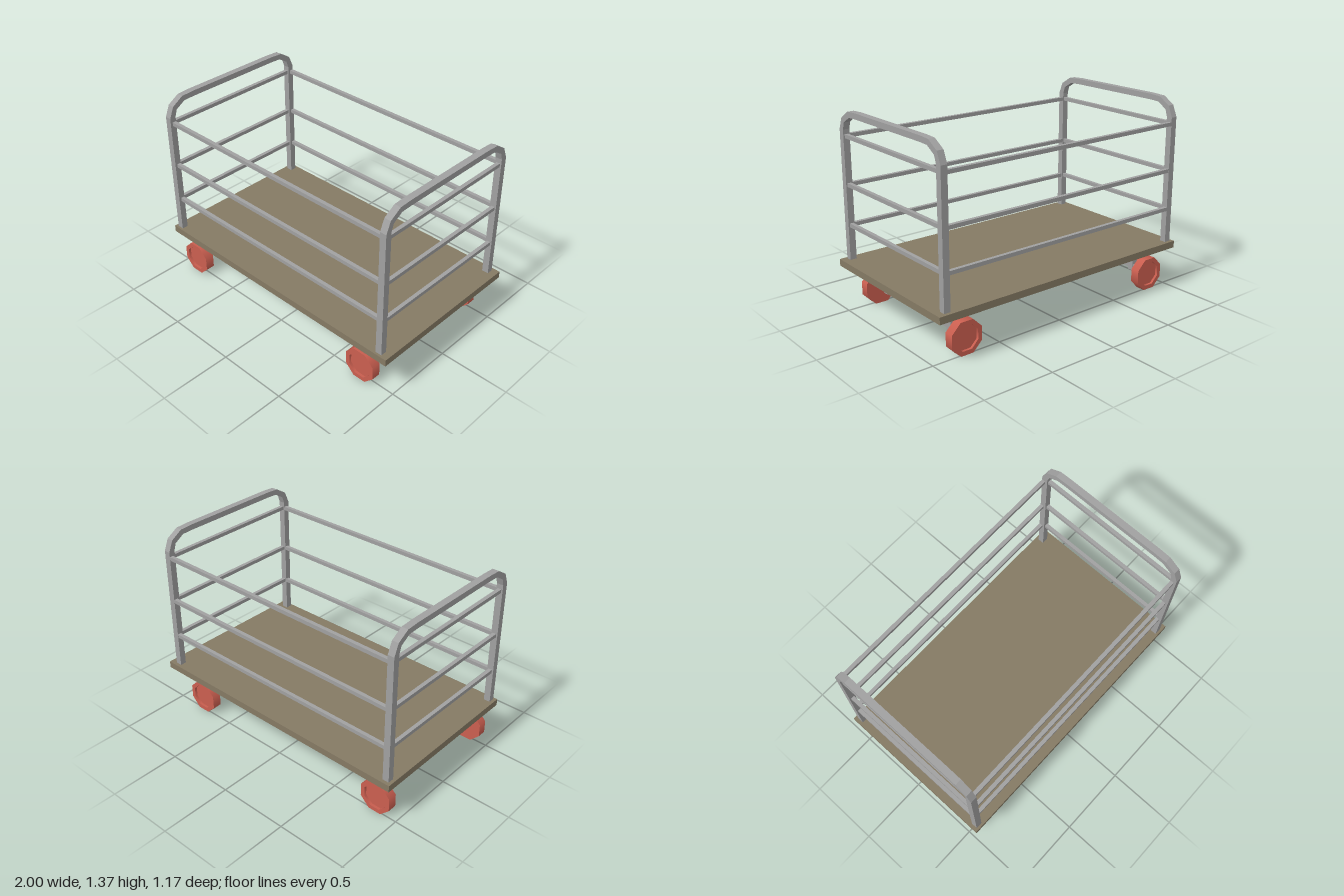
import * as THREE from 'three';
import { mergeGeometries } from 'three/addons/utils/BufferGeometryUtils.js';

const metal = new THREE.MeshStandardMaterial({ color: 0xa0a0a0 });
metal.name = 'grey metal';
const wood = new THREE.MeshStandardMaterial({ color: 0x857a64 });
wood.name = 'brown deck';
const red = new THREE.MeshStandardMaterial({ color: 0xcb5f50 });
red.name = 'red wheel';

// Box given by its minimum and maximum corners
function box(name, material, min, max) {
  const size = max.map((v, i) => v - min[i]);
  const mesh = new THREE.Mesh(new THREE.BoxGeometry(...size), material);
  mesh.position.set(...max.map((v, i) => (v + min[i]) / 2));
  mesh.name = name;
  return mesh;
}

// Half outlines of the hoop, from the foot to the top, as [z, y]
const HOOP_OUTER = [[0.565, 0.34], [0.565, 1.235], [0.532, 1.313], [0.451, 1.363], [0.36, 1.368]];
const HOOP_INNER = [[0.521, 0.34], [0.521, 1.235], [0.505, 1.284], [0.436, 1.326], [0.36, 1.329]];
const HOOP_WIDTH = 0.046;
const HOOP_Z = 0.004;

// Bent square tube with two legs
function hoopGeometry() {
  const mirror = (pts) => pts.map(([z, y]) => [-z, y]).reverse();
  const outer = [...HOOP_OUTER, ...mirror(HOOP_OUTER)];
  const inner = [...HOOP_INNER, ...mirror(HOOP_INNER)].reverse();
  const shape = new THREE.Shape([...outer, ...inner].map(([z, y]) => new THREE.Vector2(z, y)));
  const geo = new THREE.ExtrudeGeometry(shape, { depth: HOOP_WIDTH, bevelEnabled: false });
  geo.translate(0, 0, -HOOP_WIDTH / 2);
  geo.rotateY(Math.PI / 2);
  return geo;
}

// Eight-sided wheel with a recessed outer face; every profile edge stays sharp
function wheelGeometry() {
  const R = 0.1215, r = 0.09, h = 0.0325, dish = 0.018;
  const profile = [[0, -h], [R, -h], [R, h], [r, h], [r, h - dish], [0, h - dish]]
    .map((p) => new THREE.Vector2(...p));
  const bands = profile.slice(1).map((p, i) =>
    new THREE.LatheGeometry([profile[i], p], 8, Math.PI / 8));
  return mergeGeometries(bands).rotateX(Math.PI / 2);
}

export function createModel() {
  const model = new THREE.Group();
  model.name = 'platformTrolley';

  model.add(box('deck', wood, [-1, 0.297, -0.585], [1, 0.345, 0.585]));

  // End hoops
  const hoopXs = [-0.955, 0.929];
  const hoopGeo = hoopGeometry();
  for (const x of hoopXs) {
    const hoop = new THREE.Mesh(hoopGeo, metal);
    hoop.name = 'endHoop';
    hoop.position.set(x, 0, HOOP_Z);
    model.add(hoop);
  }

  // Rails at three heights around all four sides
  const t = 0.013;
  for (const y of [0.587, 0.864, 1.19]) {
    for (const z of [-0.547, 0.54]) {
      model.add(box('sideRail', metal, [hoopXs[0], y - t, z - t], [hoopXs[1], y + t, z + t]));
    }
    for (const x of hoopXs) {
      model.add(box('endRail', metal, [x - t, y - t, -0.535], [x + t, y + t, 0.54]));
    }
  }

  // Axles with their brackets and wheels
  const wheelGeo = wheelGeometry();
  for (const x of [-0.84, 0.755]) {
    model.add(box('axle', metal, [x - 0.015, 0.114, -0.46], [x + 0.015, 0.143, 0.49]));
    for (const z of [-0.349, 0.385]) {
      model.add(box('axleBracket', metal, [x - 0.023, 0.1, z - 0.021], [x + 0.023, 0.3, z + 0.021]));
    }
    for (const z of [-0.479, 0.511]) {
      const wheel = new THREE.Mesh(wheelGeo, red);
      wheel.name = 'wheel';
      wheel.position.set(x, 0.1123, z);
      if (z < 0) wheel.rotation.y = Math.PI;
      model.add(wheel);
    }
  }

  return model;
}
